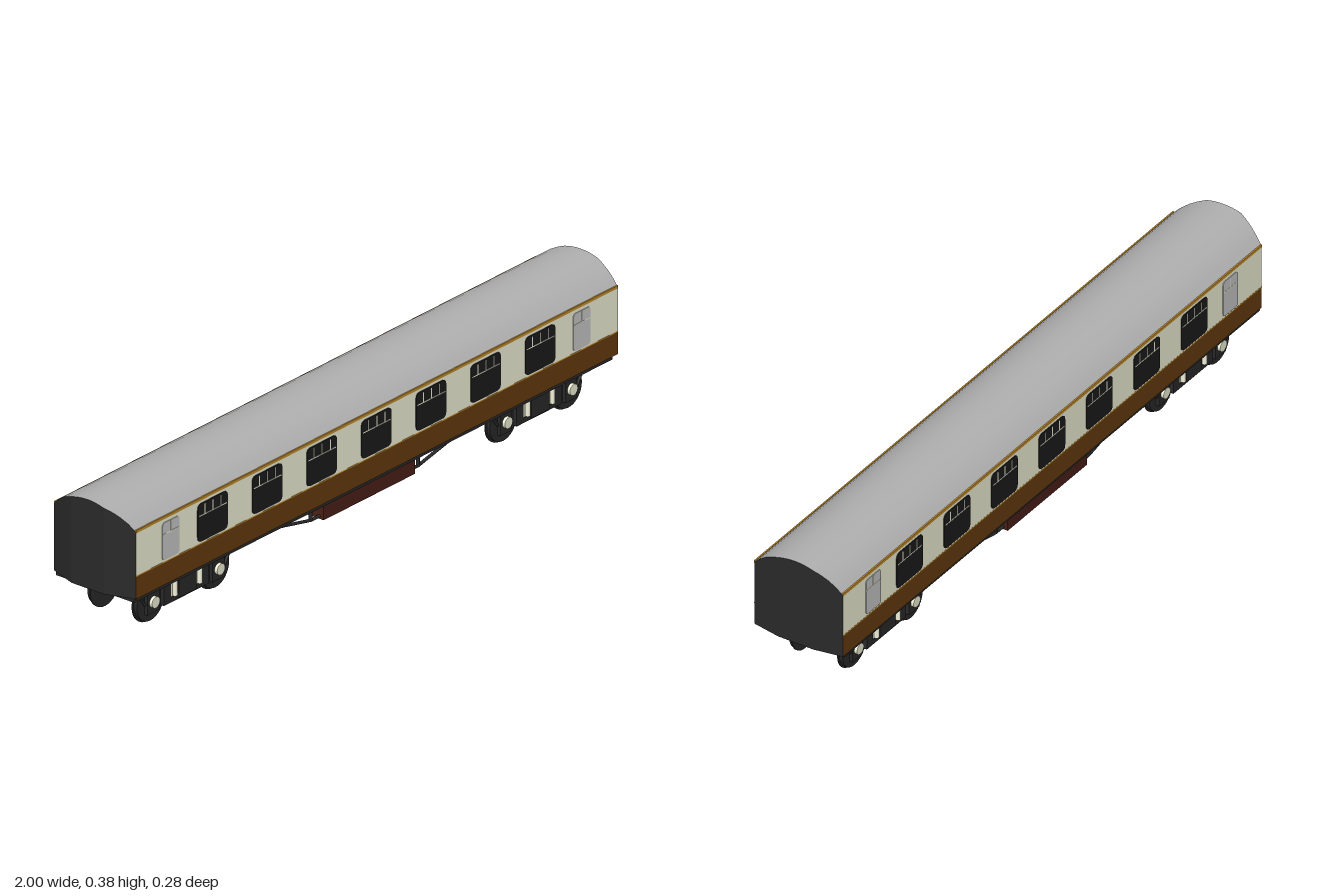
import * as THREE from 'three';

const paint = (color, flatShading = false) => new THREE.MeshStandardMaterial({ color, flatShading });
const black = paint(0x2a2a2a), endBlack = paint(0x2a2a2a, true), cream = paint(0xf5f5dc), brown = paint(0x683c10);
const gold = paint(0xc8902a), roofGrey = paint(0xb0b0b0), paleGrey = paint(0xcccccc);
const rust = paint(0x4c2018), glass = paint(0x1c1c1c);

const X0 = -0.97, X1 = 0.985, HALF = 0.139, FLOOR = 0.127, EAVE = 0.32, TOP = 0.383;

function add(parent, name, geo, mat, x = 0, y = 0, z = 0) {
  const m = new THREE.Mesh(geo, mat);
  m.name = name;
  m.position.set(x, y, z);
  parent.add(m);
  return m;
}

// Box given by its limits
function block(parent, name, mat, x0, x1, y0, y1, z0, z1) {
  return add(parent, name, new THREE.BoxGeometry(x1 - x0, y1 - y0, Math.abs(z1 - z0)), mat,
    (x0 + x1) / 2, (y0 + y1) / 2, (z0 + z1) / 2);
}

// Cylinder lying along z
function disc(parent, name, mat, r, width, x, y, z, sides = 32) {
  return add(parent, name, new THREE.CylinderGeometry(r, r, width, sides).rotateX(Math.PI / 2), mat, x, y, z);
}

// Round or square bar between two points
function bar(parent, name, mat, a, b, r) {
  const p = new THREE.Vector3(...a), q = new THREE.Vector3(...b);
  const m = add(parent, name, new THREE.CylinderGeometry(r, r, p.distanceTo(q), 8), mat);
  m.position.copy(p).lerp(q, 0.5);
  m.quaternion.setFromUnitVectors(new THREE.Vector3(0, 1, 0), q.sub(p).normalize());
}

// Surface spanned between two rows of points
function loft(a, b) {
  const index = [];
  for (let i = 0, n = a.length; i < n - 1; i++) index.push(i, i + 1, n + i, i + 1, n + i + 1, n + i);
  const g = new THREE.BufferGeometry();
  g.setAttribute('position', new THREE.Float32BufferAttribute([...a, ...b].flat(), 3));
  g.setIndex(index);
  g.computeVertexNormals();
  return g;
}

function roundedPane(w, h, r) {
  const s = new THREE.Shape(), x = w / 2, y = h / 2;
  s.moveTo(-x + r, -y).lineTo(x - r, -y).quadraticCurveTo(x, -y, x, -y + r);
  s.lineTo(x, y - r).quadraticCurveTo(x, y, x - r, y);
  s.lineTo(-x + r, y).quadraticCurveTo(-x, y, -x, y - r);
  s.lineTo(-x, -y + r).quadraticCurveTo(-x, -y, -x + r, -y);
  return new THREE.ExtrudeGeometry(s, { depth: 0.002, bevelEnabled: false, curveSegments: 5 });
}

// Roof, bowed ends and floor share one set of sections across the width
function buildShell(parent) {
  const zs = [];
  for (let i = 0; i <= 4; i++) zs.push(-HALF + (HALF - 0.055) * i / 4);
  for (let i = 1; i <= 8; i++) zs.push(-0.055 + 0.11 * i / 8);
  for (let i = 1; i <= 4; i++) zs.push(0.055 + (HALF - 0.055) * i / 4);
  const rise = TOP - EAVE, R = (HALF * HALF + rise * rise) / (2 * rise);
  const roofY = z => TOP - R + Math.sqrt(R * R - z * z);
  const endX = (z, corner) => {
    const t = Math.max(0, (Math.abs(z) - 0.055) / (HALF - 0.055));
    return Math.sign(corner) + (corner - Math.sign(corner)) * t;
  };
  const row = (corner, y) => zs.map(z => [endX(z, corner), y(z), z]);
  const low = () => FLOOR;
  add(parent, 'roof', loft(row(X0, roofY), row(X1, roofY)), roofGrey);
  add(parent, 'floor', loft(row(X1, low), row(X0, low)), endBlack);
  add(parent, 'rightEnd', loft(row(X0, low), row(X0, roofY)), endBlack);
  add(parent, 'leftEnd', loft(row(X1, roofY), row(X1, low)), endBlack);
  block(parent, 'underframe', black, -0.97, 0.97, 0.115, FLOOR, -0.133, 0.133);
}

// One long side with windows, facing +z
function buildSide() {
  const side = new THREE.Group();
  side.name = 'bodySide';
  block(side, 'lowerPanel', brown, X0, X1, FLOOR, 0.192, HALF - 0.005, HALF);
  block(side, 'upperPanel', cream, X0, X1, 0.192, EAVE, HALF - 0.005, HALF);
  block(side, 'waistLine', gold, X0, X1, 0.191, 0.194, HALF - 0.003, HALF + 0.0004);
  block(side, 'eaveLine', gold, X0, X1, 0.317, 0.325, HALF - 0.003, HALF + 0.001);
  const pane = roundedPane(0.122, 0.11, 0.016), doorPane = roundedPane(0.068, 0.108, 0.01);
  const front = HALF + 0.0028;
  for (let i = -3; i <= 3; i++) {
    const x = 0.004 + i * 0.2215;
    add(side, 'window', pane, glass, x, 0.254, HALF);
    block(side, 'ventRail', cream, x - 0.056, x + 0.056, 0.273, 0.2755, HALF, front);
    for (const d of [-0.033, 0, 0.033])
      block(side, 'ventBar', cream, x + d - 0.0015, x + d + 0.0015, 0.275, 0.304, HALF, front);
  }
  for (const x of [-0.83, 0.837]) {
    add(side, 'doorWindow', doorPane, paleGrey, x, 0.253, HALF);
    block(side, 'doorRail', cream, x - 0.032, x + 0.032, 0.273, 0.2755, HALF, front);
    block(side, 'doorBar', cream, x - 0.0015, x + 0.0015, 0.275, 0.304, HALF, front);
  }
  return side;
}

// Truss rods and equipment box below one side
function buildTruss() {
  const truss = new THREE.Group();
  truss.name = 'truss';
  const z = 0.1;
  const path = [[-0.44, 0.118, z], [-0.215, 0.07, z], [0.22, 0.07, z], [0.445, 0.118, z]];
  for (let i = 0; i < 3; i++) bar(truss, 'trussRod', black, path[i], path[i + 1], 0.0045);
  for (const [x, y] of [[-0.32, 0.092], [-0.215, 0.07], [0.22, 0.07], [0.325, 0.092]])
    bar(truss, 'trussPost', black, [x, y, z], [x, 0.12, z], 0.005);
  block(truss, 'equipmentBox', rust, -0.18, 0.19, 0.062, 0.118, 0.055, 0.115);
  return truss;
}

// Outer frame of a bogie, facing +z
function buildBogieSide() {
  const f = new THREE.Group();
  f.name = 'bogieSide';
  block(f, 'topBeam', black, -0.2, 0.2, 0.098, 0.114, 0.084, 0.098);
  block(f, 'lowerBeam', black, -0.085, 0.085, 0.035, 0.05, 0.084, 0.096);
  block(f, 'backPlate', cream, -0.064, 0.064, 0.05, 0.1, 0.09, 0.094);
  block(f, 'bolsterSpring', black, -0.036, 0.036, 0.04, 0.1, 0.094, 0.1);
  for (const s of [-1, 1]) {
    block(f, 'hornGuide', black, s * 0.078 - 0.014, s * 0.078 + 0.014, 0.035, 0.1, 0.084, 0.096);
    bar(f, 'hanger', cream, [s * 0.05, 0.052, 0.099], [s * 0.05, 0.104, 0.099], 0.007);
    block(f, 'axleBox', black, s * 0.132 - 0.024, s * 0.132 + 0.024, 0.03, 0.1, 0.084, 0.094);
    disc(f, 'axleCap', cream, 0.016, 0.01, s * 0.132, 0.062, 0.098, 20);
    bar(f, 'beamEnd', black, [s * 0.16, 0.06, 0.089], [s * 0.19, 0.104, 0.089], 0.004);
  }
  return f;
}

function mirrored(parent, build) {
  parent.add(build());
  const far = build();
  far.rotation.y = Math.PI;
  parent.add(far);
}

function buildBogie(x) {
  const b = new THREE.Group();
  b.name = 'bogie';
  b.position.x = x;
  mirrored(b, buildBogieSide);
  for (const wx of [-0.132, 0.132]) {
    disc(b, 'axle', black, 0.01, 0.18, wx, 0.06, 0, 16);
    for (const s of [-1, 1]) {
      disc(b, 'wheel', black, 0.055, 0.012, wx, 0.06, s * 0.078);
      disc(b, 'wheelFlange', black, 0.06, 0.004, wx, 0.06, s * 0.072);
    }
  }
  block(b, 'bolster', black, -0.04, 0.04, 0.066, 0.1, -0.086, 0.086);
  block(b, 'pivot', black, -0.03, 0.03, 0.1, 0.12, -0.04, 0.04);
  for (const s of [-1, 1])
    block(b, 'endBeam', black, s * 0.195 - 0.006, s * 0.195 + 0.006, 0.096, 0.112, -0.09, 0.09);
  return b;
}

export function createModel() {
  const coach = new THREE.Group();
  coach.name = 'railwayCoach';
  buildShell(coach);
  // Sides are mirrored across z, keeping the uneven end positions
  coach.add(buildSide());
  const back = buildSide();
  back.rotation.y = Math.PI;
  back.position.x = X0 + X1;
  coach.add(back);
  mirrored(coach, buildTruss);
  coach.add(buildBogie(-0.7135), buildBogie(0.7175));
  return coach;
}
